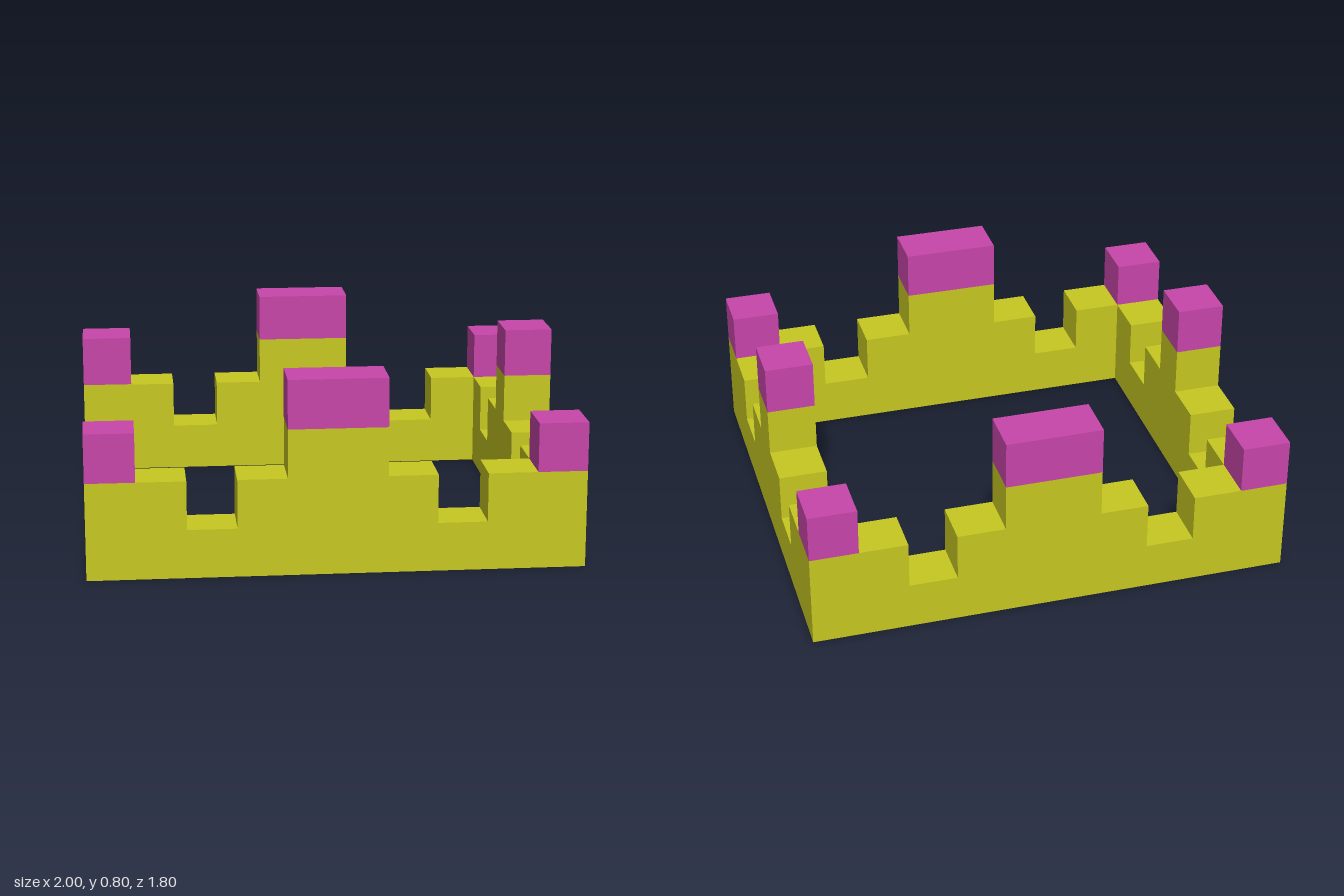
import * as THREE from 'three';

const UNIT = 0.2; // block size

// Stepped wall running along x, centred; heights are listed per block
function wallGeometry(heights) {
  const half = (heights.length * UNIT) / 2;
  const shape = new THREE.Shape();
  shape.moveTo(-half, 0);
  shape.lineTo(half, 0);
  for (let i = heights.length - 1; i >= 0; i--) {
    const h = heights[i] * UNIT;
    if (heights[i] !== heights[i + 1]) shape.lineTo(-half + (i + 1) * UNIT, h);
    if (heights[i] !== heights[i - 1]) shape.lineTo(-half + i * UNIT, h);
  }
  shape.closePath();
  const geometry = new THREE.ExtrudeGeometry(shape, { depth: UNIT, bevelEnabled: false });
  return geometry.translate(0, 0, -UNIT / 2);
}

export function createModel() {
  const yellow = new THREE.MeshStandardMaterial({ color: 0xc8c822 });
  yellow.name = 'wall yellow';
  const magenta = new THREE.MeshStandardMaterial({ color: 0xc846aa });
  magenta.name = 'cap magenta';

  const model = new THREE.Group();
  model.name = 'battlementRing';

  function add(name, geometry, material, x, y, z, turn = 0) {
    const mesh = new THREE.Mesh(geometry, material);
    mesh.name = name;
    mesh.position.set(x, y, z);
    mesh.rotation.y = turn;
    model.add(mesh);
  }

  const longWall = wallGeometry([2, 2, 1, 2, 3, 3, 2, 1, 2, 2]);
  const sideWall = wallGeometry([2, 1, 2, 3, 2, 1, 2]);
  const cube = new THREE.BoxGeometry(UNIT, UNIT, UNIT);
  const wideBlock = new THREE.BoxGeometry(2 * UNIT, UNIT, UNIT);

  for (const s of [1, -1]) {
    const end = s > 0 ? 'front' : 'back';
    const side = s > 0 ? 'left' : 'right';

    // Walls: the side walls fit between the long ones
    add(end + 'Wall', longWall, yellow, 0, 0, 0.8 * s);
    add(side + 'Wall', sideWall, yellow, 0.9 * s, 0, 0, Math.PI / 2);

    // Caps on the central towers
    add(end + 'TowerCap', wideBlock, magenta, 0, 0.7, 0.8 * s);
    add(side + 'TowerCap', cube, magenta, 0.9 * s, 0.7, 0);

    // Corner caps
    add(end + 'LeftCornerCap', cube, magenta, 0.9, 0.5, 0.8 * s);
    add(end + 'RightCornerCap', cube, magenta, -0.9, 0.5, 0.8 * s);
  }
  return model;
}
